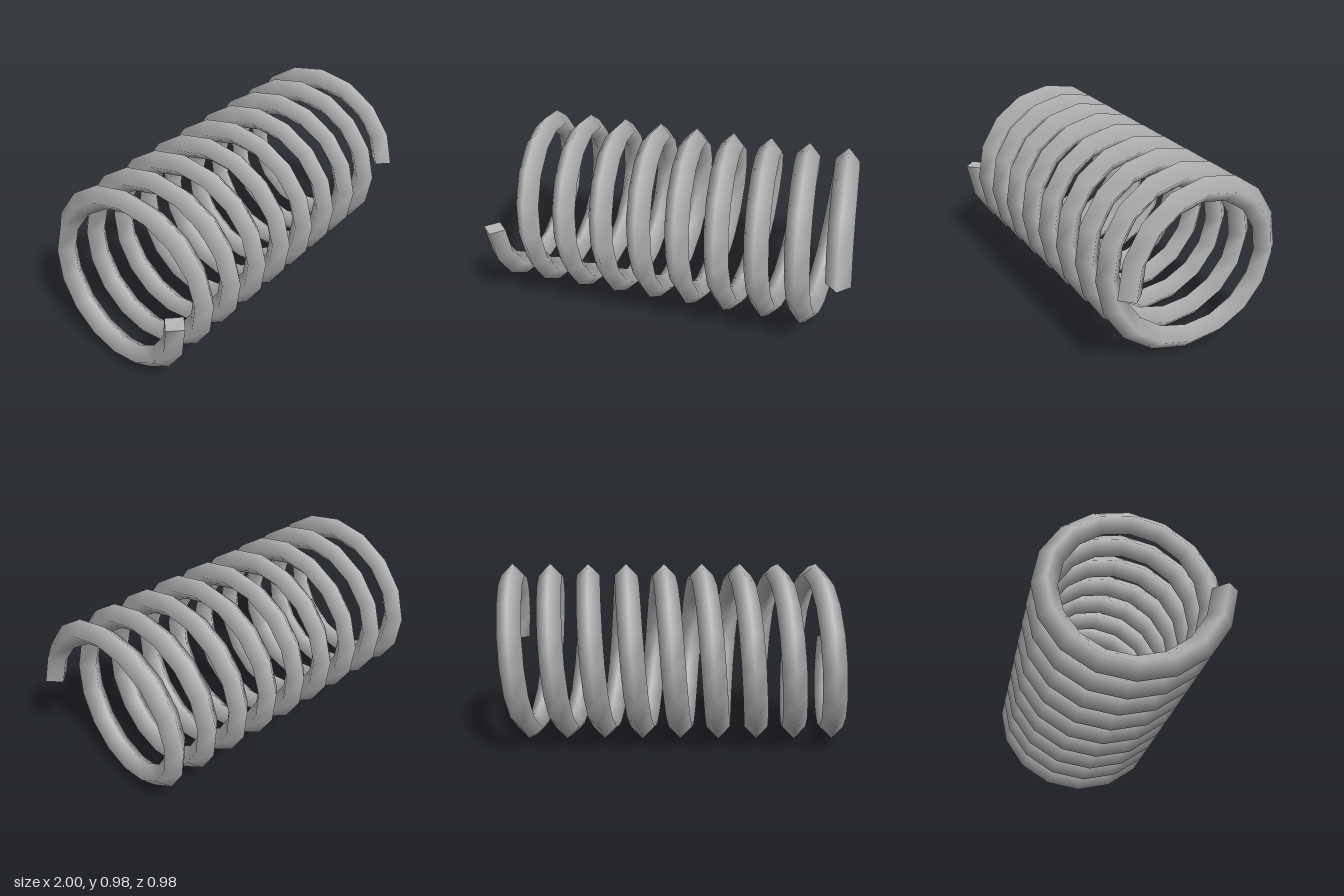
import * as THREE from 'three';

const TURNS = 9, STEPS = 16, SIDES = 4;
const COIL_RADIUS = 0.424, WIRE_RADIUS = 0.065, HALF_LENGTH = 0.935, CENTRE_Y = 0.489;

// Four-sided wire section, lying in the plane through the coil's axis
function sectionPoint(ring, side) {
  const total = TURNS * STEPS;
  const angle = (ring / STEPS) * Math.PI * 2;
  const phi = (side / SIDES) * Math.PI * 2;
  const radius = COIL_RADIUS + WIRE_RADIUS * Math.cos(phi);
  return [
    -HALF_LENGTH + (2 * HALF_LENGTH * ring) / total + WIRE_RADIUS * Math.sin(phi),
    CENTRE_Y - radius * Math.sin(angle),
    radius * Math.cos(angle),
  ];
}

function buildGeometry(positions, indices) {
  const geometry = new THREE.BufferGeometry();
  geometry.setAttribute('position', new THREE.Float32BufferAttribute(positions, 3));
  geometry.setIndex(indices);
  geometry.computeVertexNormals();
  return geometry;
}

// Wire swept along the helix, smooth across shared vertices
function coilGeometry() {
  const positions = [], indices = [];
  const total = TURNS * STEPS;
  for (let i = 0; i <= total; i++) {
    for (let j = 0; j < SIDES; j++) {
      positions.push(...sectionPoint(i, j));
      if (i === total) continue;
      const a = i * SIDES + j, b = i * SIDES + ((j + 1) % SIDES);
      const c = a + SIDES, d = b + SIDES;
      indices.push(a, c, b, b, c, d);
    }
  }
  return buildGeometry(positions, indices);
}

// Flat cut face at one end of the wire
function capGeometry(ring, reversed) {
  const positions = [], indices = [];
  for (let j = 0; j < SIDES; j++) positions.push(...sectionPoint(ring, j));
  for (let j = 1; j < SIDES - 1; j++) {
    if (reversed) indices.push(0, j + 1, j);
    else indices.push(0, j, j + 1);
  }
  return buildGeometry(positions, indices);
}

export function createModel() {
  const group = new THREE.Group();
  group.name = 'coilSpring';
  const steel = new THREE.MeshStandardMaterial({ color: 0xb8b8b8 });
  steel.name = 'steel grey';

  const add = (name, geometry) => {
    const mesh = new THREE.Mesh(geometry, steel);
    mesh.name = name;
    group.add(mesh);
  };
  add('coil', coilGeometry());
  add('rightEndCap', capGeometry(0, false));
  add('leftEndCap', capGeometry(TURNS * STEPS, true));
  return group;
}
